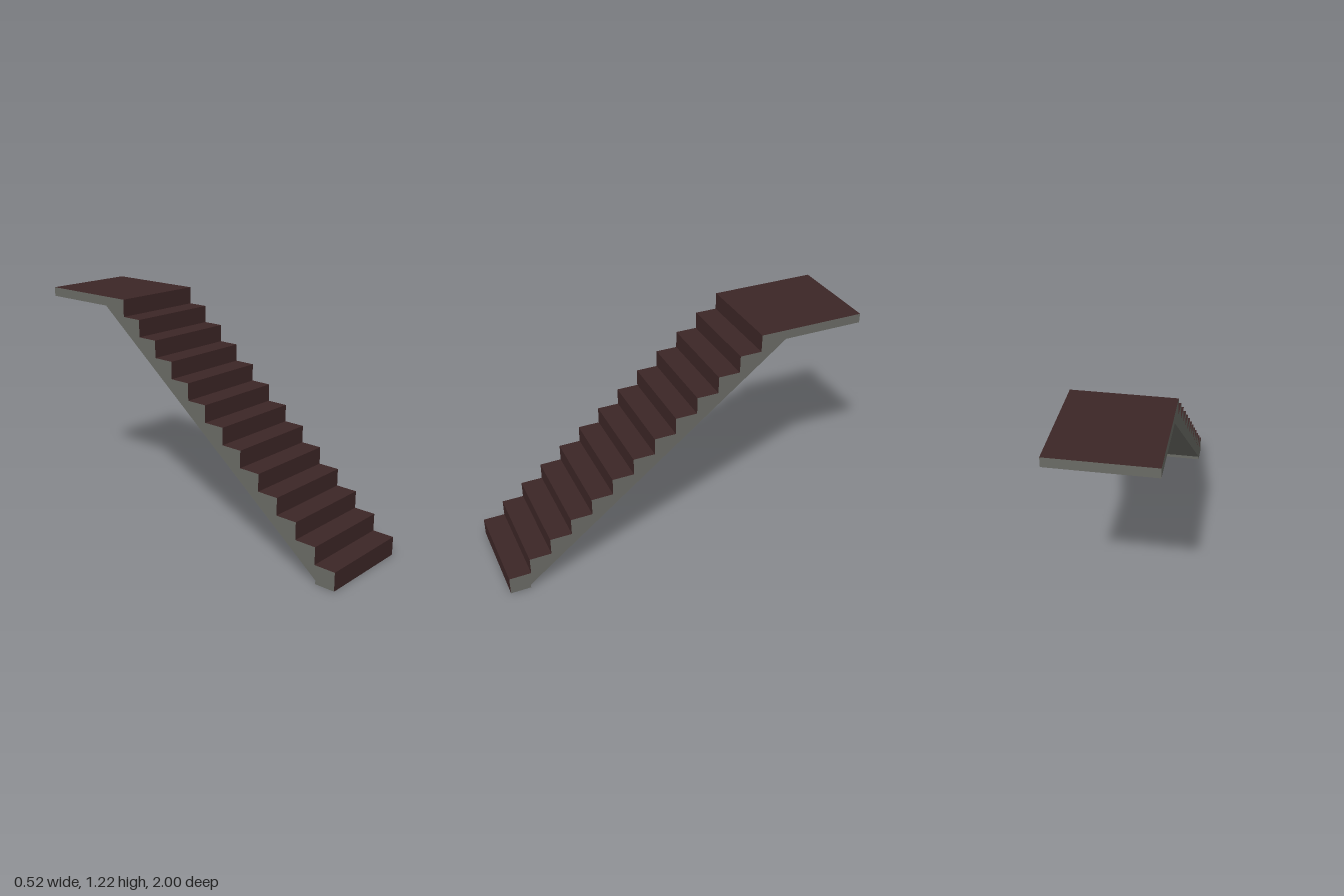
import * as THREE from 'three';

const HALF_WIDTH = 0.26;
const STEPS = 13;
const FRONT = 1, BACK = -1;
const RUN = 1.42 / (STEPS - 1);
const FIRST_RISE = 0.1, TOP = 1.222;
const RISE = (TOP - FIRST_RISE) / (STEPS - 1);

// Sweeps a profile of [z, y] points straight across the width, one flat quad per segment
function strip(profile) {
  const w = HALF_WIDTH, positions = [];
  for (let i = 0; i < profile.length - 1; i++) {
    const [z0, y0] = profile[i], [z1, y1] = profile[i + 1];
    positions.push(-w, y0, z0, w, y0, z0, w, y1, z1);
    positions.push(-w, y0, z0, w, y1, z1, -w, y1, z1);
  }
  const geometry = new THREE.BufferGeometry();
  geometry.setAttribute('position', new THREE.Float32BufferAttribute(positions, 3));
  geometry.computeVertexNormals();
  return geometry;
}

// Flat side wall filling the outline, facing +x (side 1) or -x (side -1)
function sideWall(outline, side) {
  const shape = new THREE.Shape(outline.map(([z, y]) => new THREE.Vector2(-side * z, y)));
  return new THREE.ShapeGeometry(shape)
    .rotateY(side * Math.PI / 2)
    .translate(side * HALF_WIDTH, 0, 0);
}

export function createModel() {
  const model = new THREE.Group();
  model.name = 'staircase';

  const brown = new THREE.MeshStandardMaterial({ color: 0x3c2626 });
  brown.name = 'dark brown';
  const grey = new THREE.MeshStandardMaterial({ color: 0x6a6b65 });
  grey.name = 'concrete grey';

  const add = (name, geometry, material) => {
    const mesh = new THREE.Mesh(geometry, material);
    mesh.name = name;
    model.add(mesh);
  };

  // Risers and treads; the last tread is the landing
  const steps = [[FRONT, 0]];
  for (let i = 0; i < STEPS; i++) {
    const z = FRONT - i * RUN;
    const y = FIRST_RISE + i * RISE;
    steps.push([z, y], [i === STEPS - 1 ? BACK : z - RUN, y]);
  }

  // Landing edge, slab underside, small heel and foot
  const underside = [[BACK, TOP], [BACK, 1.172], [-0.56, 1.172], [0.89, 0.02], [0.89, 0], [FRONT, 0]];

  add('stepsAndLanding', strip(steps), brown);
  add('slabUnderside', strip(underside), grey);

  // Side walls
  const outline = [...steps, ...underside.slice(1, -1)];
  add('leftSide', sideWall(outline, 1), grey);
  add('rightSide', sideWall(outline, -1), grey);

  return model;
}
